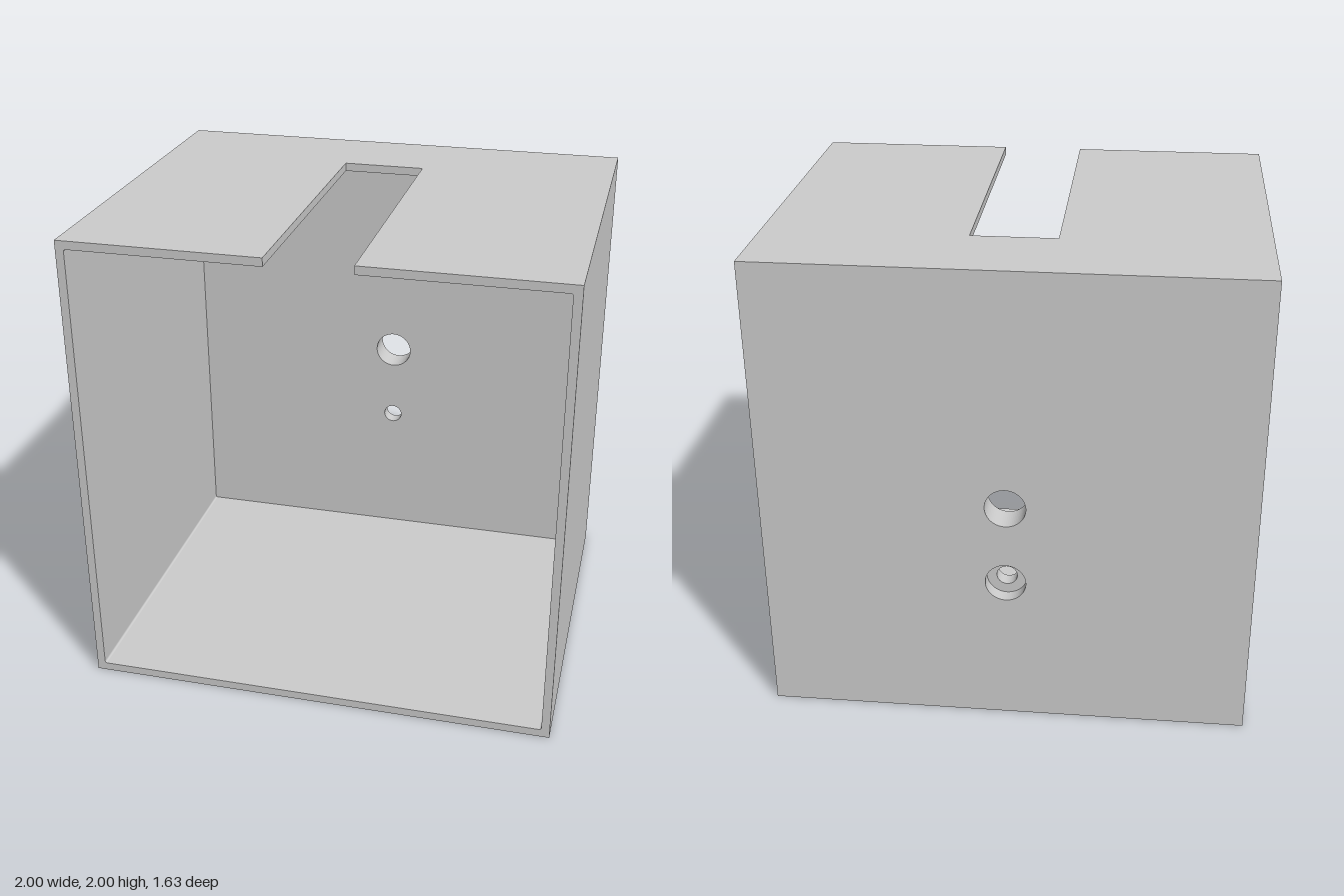
import * as THREE from 'three';

const W = 1, H = 2, D = 0.813;        // half width, height, half depth
const T = 0.035, FILLET = 0.01;       // wall thickness, inner corner radius
const BACK = -0.69;                   // inner face of the thick back wall
const SLOT_X = 0.174, SLOT_END = -0.44;
const BORE_FLOOR = -D + 0.06;         // floor of the counterbore

const material = new THREE.MeshStandardMaterial({ color: 0xcccccc });

// Extrude a front-plane shape between two depths
function slab(name, shape, z0, z1) {
  const geometry = new THREE.ExtrudeGeometry(shape, { depth: z1 - z0, bevelEnabled: false, curveSegments: 32 });
  geometry.translate(0, 0, z0);
  const mesh = new THREE.Mesh(geometry, material);
  mesh.name = name;
  return mesh;
}

function outerRectangle() {
  return new THREE.Shape().moveTo(-W, 0).lineTo(W, 0).lineTo(W, H).lineTo(-W, H).closePath();
}

function roundHole(y, radius) {
  return new THREE.Path().absarc(0, y, radius, 0, Math.PI * 2, true);
}

// Back wall layer with the upper hole and a lower hole of the given radius
function backLayer(name, lowerRadius, z0, z1) {
  const shape = outerRectangle();
  shape.holes.push(roundHole(1, 0.083), roundHole(0.651, lowerRadius));
  return slab(name, shape, z0, z1);
}

// Wall section split at the top by the slot
function slottedSection() {
  const x = W - T, lo = T, hi = H - T, r = FILLET;
  return new THREE.Shape()
    .moveTo(-SLOT_X, H).lineTo(-W, H).lineTo(-W, 0).lineTo(W, 0).lineTo(W, H).lineTo(SLOT_X, H)
    .lineTo(SLOT_X, hi).lineTo(x - r, hi).quadraticCurveTo(x, hi, x, hi - r)
    .lineTo(x, lo + r).quadraticCurveTo(x, lo, x - r, lo)
    .lineTo(-x + r, lo).quadraticCurveTo(-x, lo, -x, lo + r)
    .lineTo(-x, hi - r).quadraticCurveTo(-x, hi, -x + r, hi)
    .lineTo(-SLOT_X, hi).closePath();
}

export function createModel() {
  const group = new THREE.Group();
  group.name = 'openBox';

  // Thick back wall: wide counterbore outside, narrow hole inside
  group.add(backLayer('backWallOuter', 0.083, -D, BORE_FLOOR));
  group.add(backLayer('backWallInner', 0.042, BORE_FLOOR, BACK));

  // Floor, sides and slotted roof in one section
  group.add(slab('walls', slottedSection(), BACK, D));

  // Roof piece closing the slot at the back
  const bridge = new THREE.Mesh(new THREE.BoxGeometry(SLOT_X * 2, T, SLOT_END - BACK), material);
  bridge.position.set(0, H - T / 2, (SLOT_END + BACK) / 2);
  bridge.name = 'roofBridge';
  group.add(bridge);

  return group;
}
